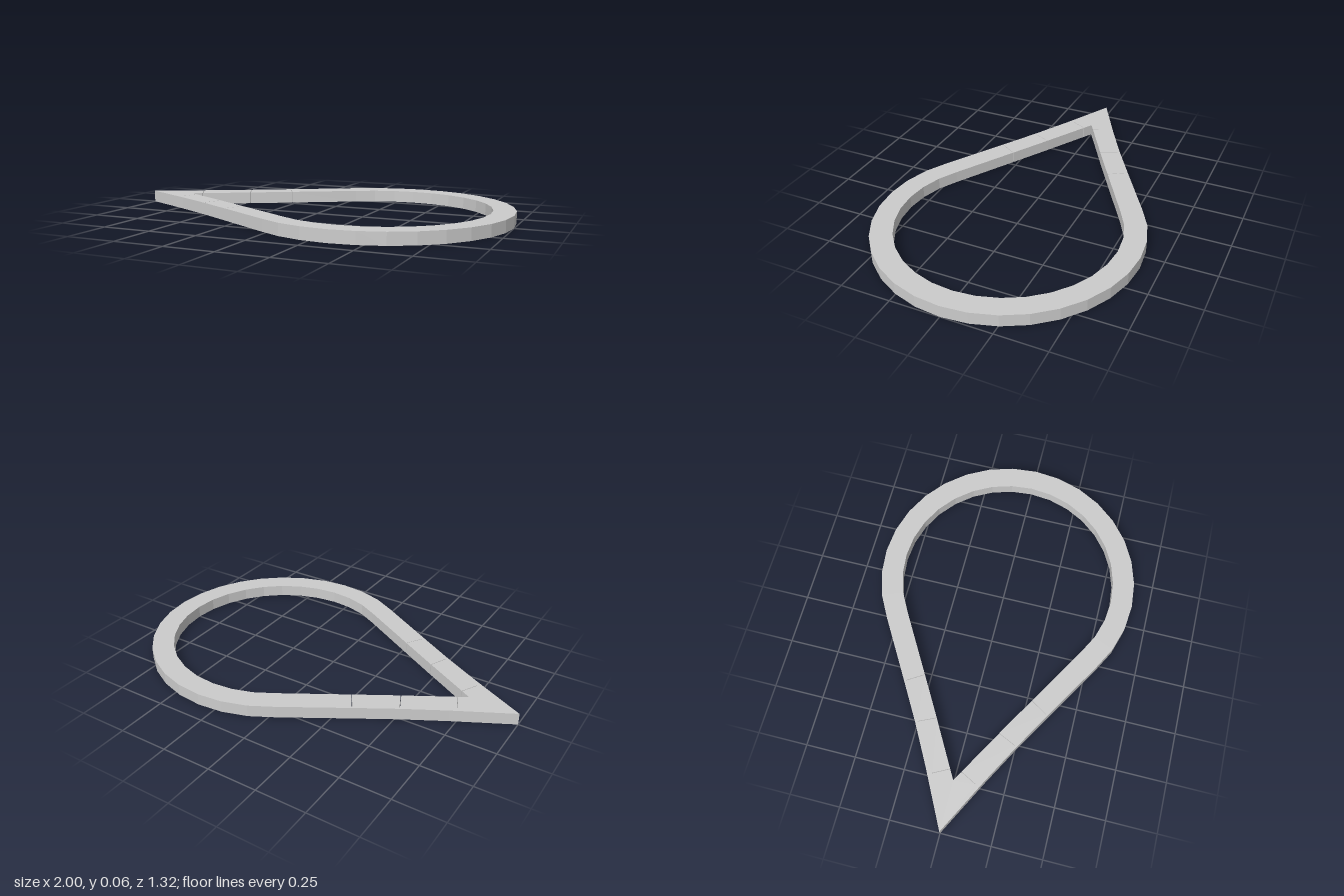
import * as THREE from 'three';

const HEIGHT = 0.06;
const STEP = Math.PI / 16; // facet angle of the round end
const CENTER = 0.34;

// Half outline of the round end, from the rim (angle 0) to where the arm begins
const arc = (r) => Array.from({ length: 12 }, (_, i) =>
  [CENTER + r * Math.cos(i * STEP), r * Math.sin(i * STEP)]);

// Thin saw cut from the inner wall into the arm
function slit([ax, ay], [bx, by], half = 0.0015) {
  const len = Math.hypot(bx - ax, by - ay);
  const nx = -(by - ay) / len * half, ny = (bx - ax) / len * half;
  return [[ax - nx, ay - ny], [bx - nx, by - ny], [bx + nx, by + ny], [ax + nx, ay + ny]];
}

// Closes a half outline by mirroring it; its first and last points lie on the axis
function mirrored(half) {
  const other = half.slice(1, -1).reverse().map(([x, y]) => [x, -y]);
  return [...half, ...other].map(([x, y]) => new THREE.Vector2(x, y));
}

export function createModel() {
  const group = new THREE.Group();
  group.name = 'teardropFrame';

  // Outer edge: round end, slightly hollow arm, sharp tip
  const outer = [...arc(0.66), [-0.33, 0.368], [-0.52, 0.256], [-0.72, 0.146], [-1, 0]];

  // Inner edge with three cuts on each arm
  const inner = [
    ...arc(0.55),
    ...slit([-0.275, 0.275], [-0.327, 0.358]).reverse(),
    ...slit([-0.475, 0.158], [-0.515, 0.245]).reverse(),
    ...slit([-0.702, 0.028], [-0.743, 0.107]).reverse(),
    [-0.75, 0],
  ];
  // Put each cut's points in order along the arm, away from the round end
  for (let i = 12; i < 24; i += 4) {
    if (inner[i][0] < inner[i + 3][0]) inner.splice(i, 4, ...inner.slice(i, i + 4).reverse());
  }

  const shape = new THREE.Shape(mirrored(outer));
  shape.holes.push(new THREE.Path(mirrored(inner)));

  const geometry = new THREE.ExtrudeGeometry(shape, { depth: HEIGHT, bevelEnabled: false });
  geometry.rotateX(-Math.PI / 2);
  const band = new THREE.Mesh(geometry,
    new THREE.MeshStandardMaterial({ color: 0xcccccc, flatShading: true }));
  band.name = 'teardropBand';
  group.add(band);
  return group;
}
